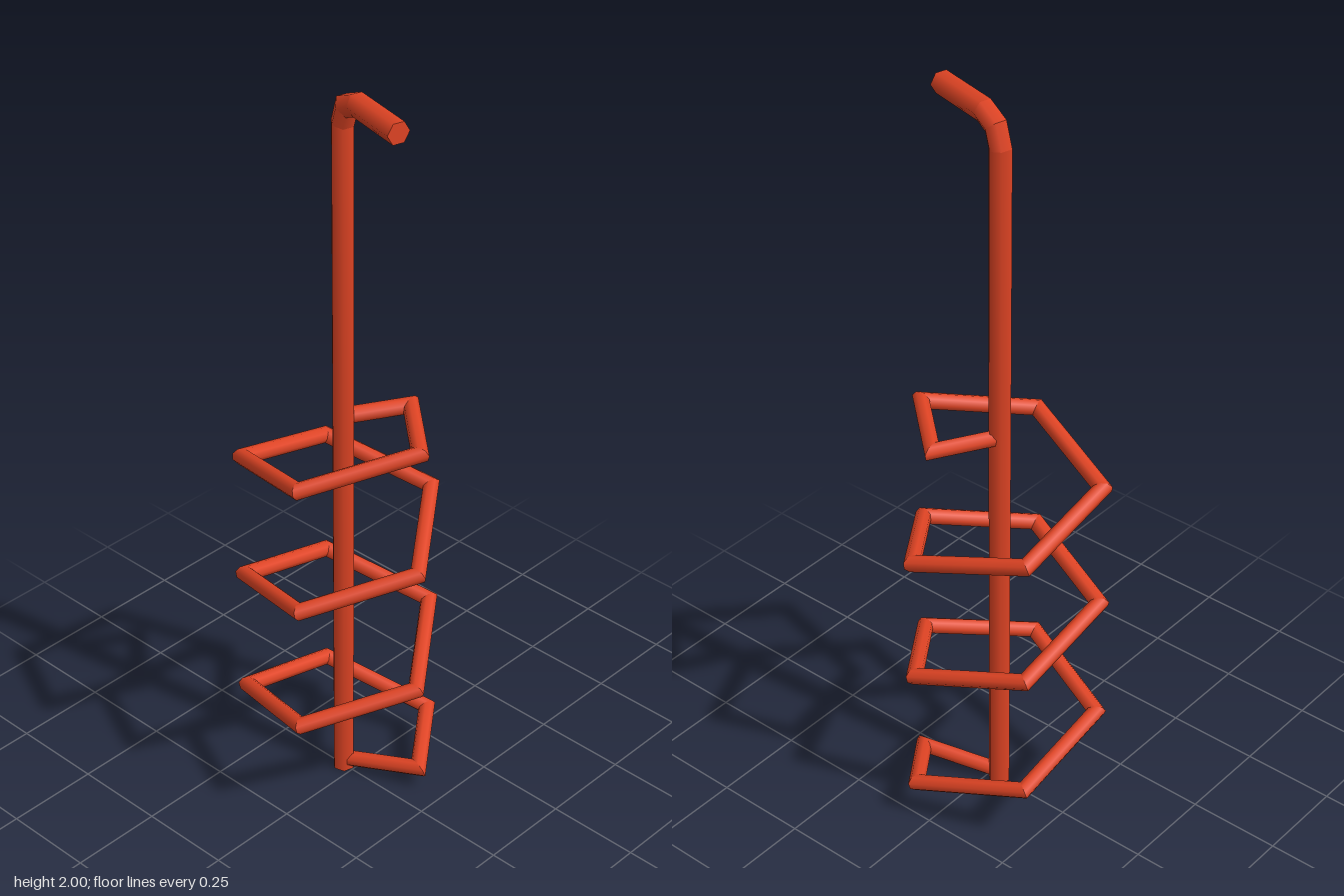
import * as THREE from 'three';

const V = (x, y, z) => new THREE.Vector3(x, y, z);

// Bar swept along straight runs, mitred at the corners, capped at both ends.
function bentBar(path, radius, sides, turn) {
  const dirs = path.slice(1).map((p, i) => p.clone().sub(path[i]).normalize());
  const pos = [], nor = [];
  const tri = (pts, ns) => pts.forEach((p, i) => {
    pos.push(p.x, p.y, p.z);
    nor.push(ns[i].x, ns[i].y, ns[i].z);
  });
  const cap = (ring, centre, n, flip) => {
    for (let k = 0; k < sides; k++) {
      const a = ring[k], b = ring[(k + 1) % sides];
      tri(flip ? [centre, b, a] : [centre, a, b], [n, n, n]);
    }
  };

  // First ring, square to the first run
  const ref = Math.abs(dirs[0].y) > 0.9 ? V(1, 0, 0) : V(0, 1, 0);
  const u = ref.addScaledVector(dirs[0], -ref.dot(dirs[0])).normalize();
  const w = dirs[0].clone().cross(u);
  let ring = Array.from({ length: sides }, (_, k) => {
    const a = turn + (k / sides) * Math.PI * 2;
    return path[0].clone().addScaledVector(u, radius * Math.cos(a)).addScaledVector(w, radius * Math.sin(a));
  });
  cap(ring, path[0], dirs[0].clone().negate(), true);

  dirs.forEach((d, i) => {
    // Slide each corner along the run until it meets the mitre plane
    const plane = d.clone().add(dirs[i + 1] || d).normalize();
    const end = path[i + 1];
    const next = ring.map(p => p.clone().addScaledVector(d, end.clone().sub(p).dot(plane) / d.dot(plane)));
    const normals = ring.map(p => {
      const r = p.clone().sub(path[i]);
      return r.addScaledVector(d, -r.dot(d)).normalize();
    });
    for (let k = 0; k < sides; k++) {
      const m = (k + 1) % sides;
      tri([ring[k], ring[m], next[m]], [normals[k], normals[m], normals[m]]);
      tri([ring[k], next[m], next[k]], [normals[k], normals[m], normals[k]]);
    }
    ring = next;
  });
  cap(ring, path[path.length - 1], dirs[dirs.length - 1], false);

  const geo = new THREE.BufferGeometry();
  geo.setAttribute('position', new THREE.Float32BufferAttribute(pos, 3));
  geo.setAttribute('normal', new THREE.Float32BufferAttribute(nor, 3));
  return geo;
}

export function createModel() {
  const group = new THREE.Group();
  const red = new THREE.MeshStandardMaterial({ color: 0xe04424 });
  red.name = 'red paint';
  const add = (name, geo) => {
    const mesh = new THREE.Mesh(geo, red);
    mesh.name = name;
    group.add(mesh);
  };
  const axis = -0.031;

  // Upright rod with a rounded bend into the handle
  const aim = THREE.MathUtils.degToRad(15);
  const reach = (s, y) => V(axis + s * Math.cos(aim), y, s * Math.sin(aim));
  add('poleAndHandle', bentBar(
    [reach(0, 0), reach(0, 1.9), reach(0.018, 1.95), reach(0.065, 1.971), reach(0.239, 1.971)],
    0.03, 6, aim));

  // Five-sided coil climbing around the rod, tied to it at both ends
  const coil = [V(axis, 0.025, 0), V(0.168, 0.055, -0.077)];
  for (let i = 0; i < 15; i++) {
    const a = ((i + 1) * Math.PI * 2) / 5;
    coil.push(V(axis + 0.255 * Math.cos(a), 0.102 + i * 0.0718, -0.255 * Math.sin(a)));
  }
  coil[coil.length - 1].y = 1.105;
  coil.push(V(0.056, 1.105, -0.152), V(axis, 1.105, 0));
  add('coil', bentBar(coil, 0.0215, 8, Math.PI / 8));

  return group;
}
